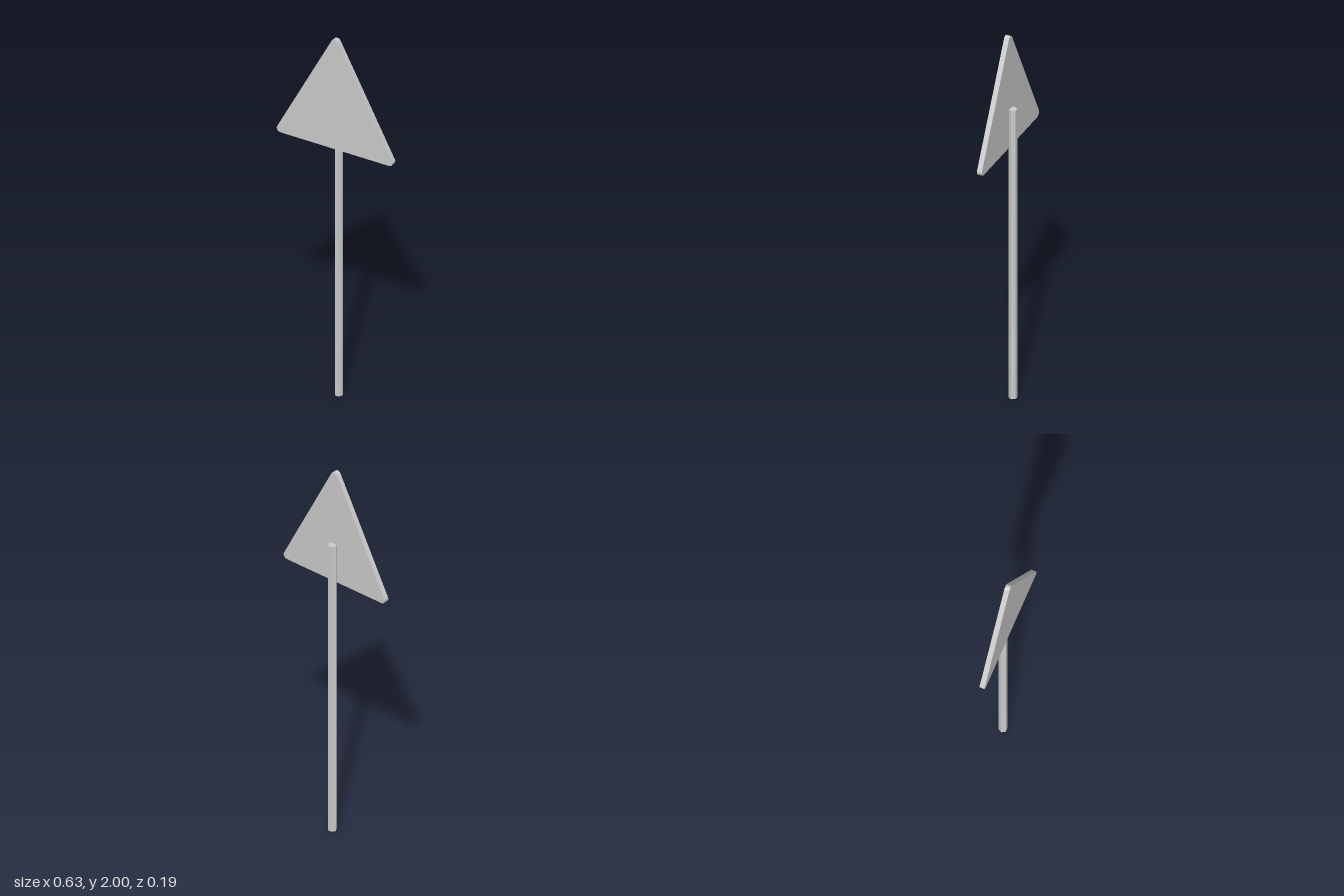
import * as THREE from 'three';

const material = new THREE.MeshStandardMaterial({ color: 0xcccccc, flatShading: true });

// Triangular panel with rounded corners, given as three arcs joined by straight sides
function createPanel() {
  const radius = 0.02, depth = 0.026;
  const tilt = Math.atan2(0.303, 0.57); // half the angle at the tip
  const shape = new THREE.Shape();
  shape.absarc(0.303, 1.41, radius, -Math.PI / 2, tilt, false);
  shape.absarc(0, 1.98, radius, tilt, Math.PI - tilt, false);
  shape.absarc(-0.303, 1.41, radius, Math.PI - tilt, Math.PI * 1.5, false);
  shape.closePath();
  const geometry = new THREE.ExtrudeGeometry(shape, { depth, bevelEnabled: false, curveSegments: 5 });
  geometry.translate(0, 0, -depth / 2);
  const panel = new THREE.Mesh(geometry, material);
  panel.name = 'signPanel';
  return panel;
}

// Six-sided post set partly into the back of the panel
function createPost() {
  const height = 1.6;
  const geometry = new THREE.CylinderGeometry(0.022, 0.022, height, 6, 1, false, Math.PI / 6);
  const post = new THREE.Mesh(geometry, material);
  post.position.set(0, height / 2, -0.026);
  post.name = 'post';
  return post;
}

export function createModel() {
  const sign = new THREE.Group();
  sign.name = 'triangularSign';
  sign.add(createPanel(), createPost());
  sign.rotation.y = -THREE.MathUtils.degToRad(15); // whole sign is turned a little

  const model = new THREE.Group();
  model.add(sign);
  return model;
}
